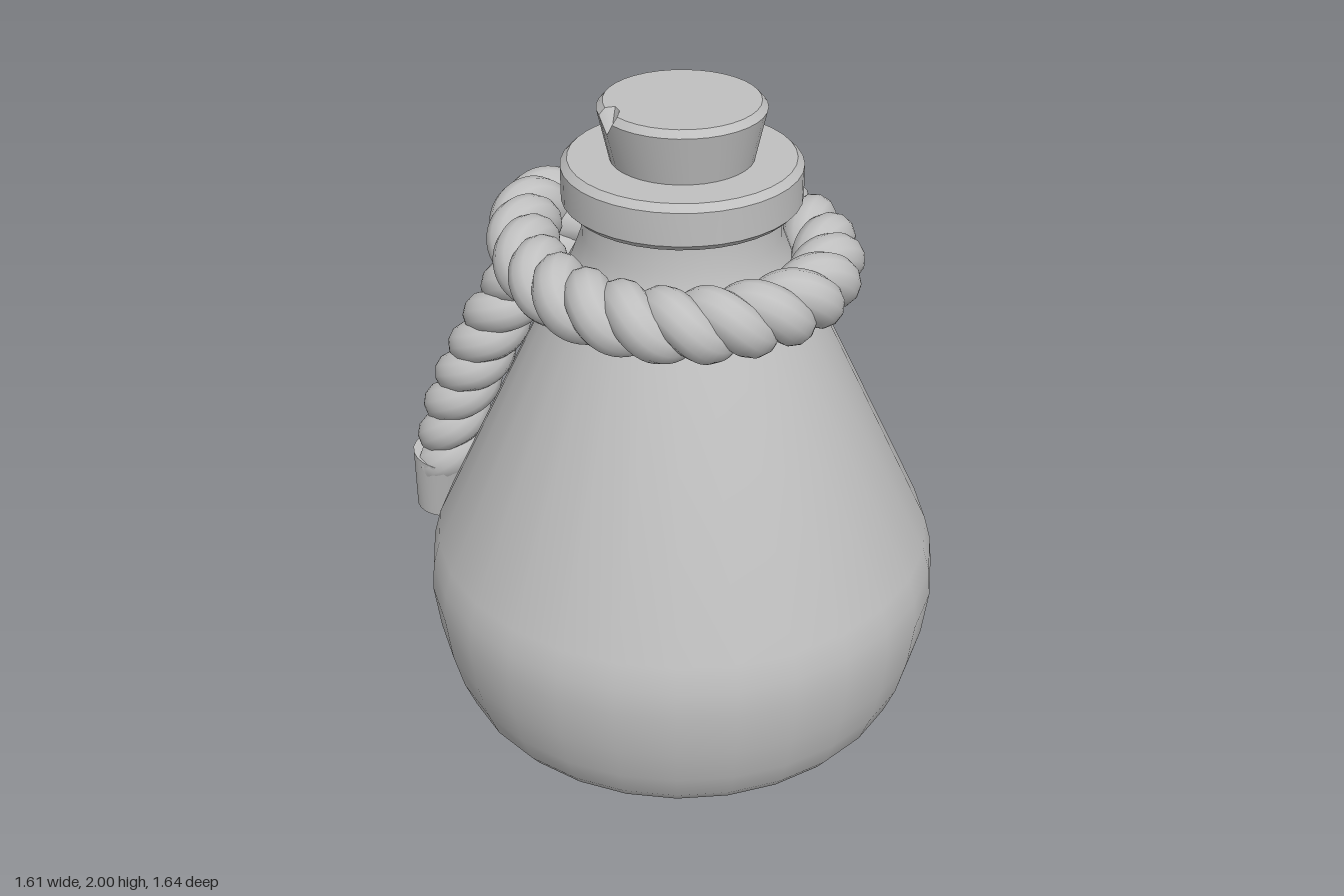
import * as THREE from 'three';
import { toCreasedNormals } from 'three/addons/utils/BufferGeometryUtils.js';

const V = (x, y, z) => new THREE.Vector3(x, y, z);

export function createModel() {
  const model = new THREE.Group();
  const grey = new THREE.MeshStandardMaterial({ color: 0xbfbfbf });
  grey.name = 'grey';

  const add = (name, geometry) => {
    const mesh = new THREE.Mesh(geometry, grey);
    mesh.name = name;
    model.add(mesh);
    return mesh;
  };
  const lathe = (profile, sides) =>
    new THREE.LatheGeometry(profile.map(([r, y]) => new THREE.Vector2(r, y)), sides);
  const creased = (geometry, angle = 0.6) => toCreasedNormals(geometry, angle);
  const axisZ = 0.014;

  // Flask body with sloping shoulder and short neck
  add('flaskBody', creased(lathe([
    [0, 0.005], [0.645, 0.005], [0.69, 0.02], [0.72, 0.06], [0.755, 0.15], [0.785, 0.27],
    [0.803, 0.42], [0.795, 0.51], [0.773, 0.59], [0.39, 1.4], [0.325, 1.52], [0.295, 1.6],
    [0.29, 1.7],
  ], 28), 0.75)).position.z = axisZ;

  // Bevelled lip around the mouth
  add('lip', creased(lathe([
    [0, 1.69], [0.33, 1.69], [0.35, 1.71], [0.35, 1.81], [0.33, 1.83], [0, 1.83],
  ], 36))).position.z = axisZ;

  // Tapered stopper with a small chip in its rim
  const stopper = lathe(
    [[0, 1.82], [0.207, 1.82], [0.243, 1.98], [0.225, 2], [0.195, 2], [0, 2]], 36);
  const pos = stopper.attributes.position;
  for (let i = 0; i < pos.count; i++) {
    const x = pos.getX(i), z = pos.getZ(i);
    const turn = Math.abs(Math.atan2(z, -x) + 0.26);
    if (pos.getY(i) > 1.97 && Math.hypot(x, z) > 0.21 && turn < 0.088) {
      pos.setXYZ(i, x * 0.97, pos.getY(i) - 0.045, z * 0.97);
    }
  }
  add('stopper', creased(stopper)).position.z = axisZ;

  // Rope centre line: up one tail, round the neck, over itself, through the handle and down
  const ropePath = new THREE.CatmullRomCurve3([
    V(-0.43, 0.6, -0.71), V(-0.4, 0.82, -0.67), V(-0.34, 1.05, -0.59), V(-0.26, 1.26, -0.51),
    V(-0.15, 1.41, -0.44), V(0, 1.5, -0.4), V(0.16, 1.53, -0.36), V(0.31, 1.52, -0.26),
    V(0.4, 1.515, -0.1), V(0.4, 1.515, 0.12), V(0.3, 1.51, 0.32), V(0.1, 1.51, 0.44),
    V(-0.12, 1.51, 0.43), V(-0.31, 1.51, 0.31), V(-0.415, 1.515, 0.1), V(-0.415, 1.52, -0.12),
    V(-0.33, 1.54, -0.33), V(-0.18, 1.54, -0.48), V(0, 1.48, -0.54), V(0.16, 1.34, -0.55),
    V(0.29, 1.23, -0.525), V(0.4, 1.17, -0.465), V(0.475, 1.02, -0.505), V(0.55, 0.8, -0.58),
    V(0.62, 0.53, -0.62),
  ], false, 'centripetal');
  ropePath.arcLengthDivisions = 800;

  // Two thick strands twisted about the centre line
  const steps = 340, strands = 2, lead = 0.25, offset = 0.041, strandRadius = 0.069;
  const frames = ropePath.computeFrenetFrames(steps, false);
  const turns = ropePath.getLength() / lead;
  for (let s = 0; s < strands; s++) {
    const points = [];
    for (let i = 0; i <= steps; i++) {
      const a = 2 * Math.PI * (turns * i / steps + s / strands);
      points.push(ropePath.getPointAt(i / steps)
        .addScaledVector(frames.normals[i], Math.cos(a) * offset)
        .addScaledVector(frames.binormals[i], Math.sin(a) * offset));
    }
    add('ropeStrand' + (s + 1),
      new THREE.TubeGeometry(new THREE.CatmullRomCurve3(points), 600, strandRadius, 12));
  }

  // End caps, each turned along its rope tail
  const endCap = (name, profile, from, to) => {
    const cap = add(name, creased(lathe(profile, 20), 0.7));
    cap.position.copy(from);
    cap.quaternion.setFromUnitVectors(V(0, 1, 0), to.clone().sub(from).normalize());
  };
  endCap('roundRopeCap', [
    [0, 0], [0.108, 0], [0.118, 0.17], [0.108, 0.225], [0.08, 0.268], [0.04, 0.293], [0, 0.3],
  ], V(0.615, 0.56, -0.612), V(0.655, 0.27, -0.675));
  endCap('flatRopeCap', [[0, 0], [0.11, 0], [0.078, 0.215], [0, 0.215]],
    V(-0.43, 0.63, -0.712), V(-0.45, 0.42, -0.74));

  // Wire loop hanging from the rounded cap
  const loop = add('wireLoop', new THREE.TorusGeometry(0.095, 0.012, 8, 28));
  loop.position.set(0.66, 0.255, -0.685);
  loop.rotation.set(-0.25, Math.atan2(0.37, -0.93), 0, 'YXZ');

  // Curved handle that the rope passes through
  const outer = [[0.33, 1.36], [0.44, 1.395], [0.54, 1.4], [0.68, 1.36], [0.78, 1.24],
    [0.81, 1.12], [0.785, 0.97], [0.72, 0.85], [0.62, 0.76]];
  const inner = [[0.58, 0.89], [0.66, 0.92], [0.72, 1.0], [0.735, 1.11], [0.71, 1.21],
    [0.64, 1.3], [0.53, 1.335], [0.45, 1.31], [0.38, 1.24]];
  const toPoints = list => list.map(([x, y]) => new THREE.Vector2(x, y));
  const handleShape = new THREE.Shape(new THREE.SplineCurve(toPoints(outer)).getPoints(30)
    .concat(new THREE.SplineCurve(toPoints(inner)).getPoints(30)));
  const handleGeometry = new THREE.ExtrudeGeometry(handleShape, {
    depth: 0.06, bevelEnabled: true, bevelThickness: 0.008, bevelSize: 0.006,
    bevelOffset: -0.006, bevelSegments: 1,
  });
  handleGeometry.translate(0, 0, -0.03);
  const handle = add('handle', creased(handleGeometry));
  handle.rotation.y = Math.atan2(0.84, 0.54);

  return model;
}
